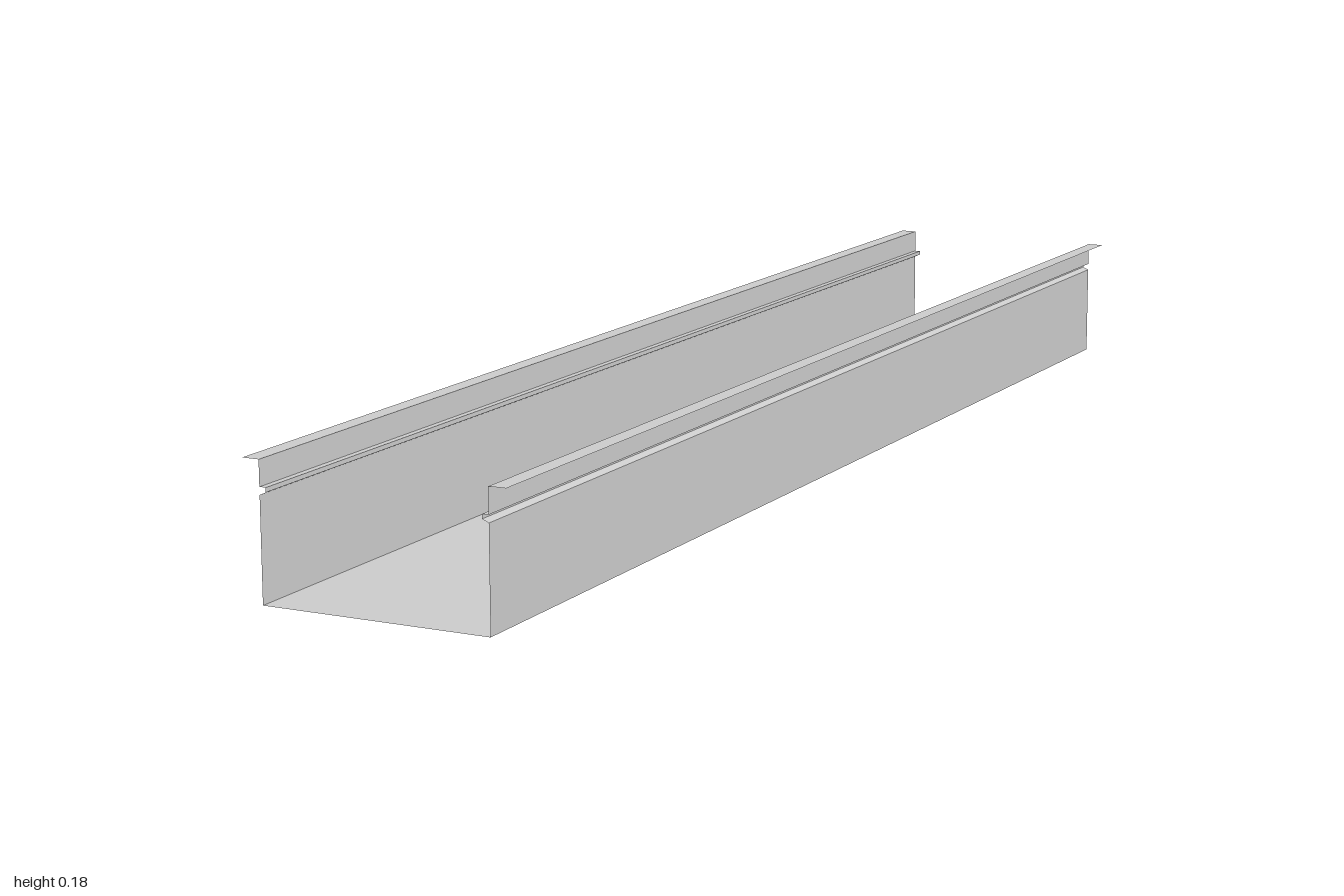
import * as THREE from 'three';

const LENGTH = 2;
const material = new THREE.MeshStandardMaterial({ color: 0xcccccc, flatShading: true, side: THREE.DoubleSide });

// Sweeps an open [x, y] profile along z as a thin folded sheet.
function sheet(name, profile) {
  const positions = [];
  const h = LENGTH / 2;
  for (let i = 0; i < profile.length - 1; i++) {
    const [ax, ay] = profile[i];
    const [bx, by] = profile[i + 1];
    positions.push(ax, ay, h, bx, by, h, bx, by, -h);
    positions.push(ax, ay, h, bx, by, -h, ax, ay, -h);
  }
  const geometry = new THREE.BufferGeometry();
  geometry.setAttribute('position', new THREE.Float32BufferAttribute(positions, 3));
  geometry.computeVertexNormals();
  const mesh = new THREE.Mesh(geometry, material);
  mesh.name = name;
  return mesh;
}

export function createModel() {
  const group = new THREE.Group();
  group.name = 'channelTray';

  // Flat floor
  group.add(sheet('floor', [[0.16, 0], [-0.16, 0]]));

  // Side walls with an inward groove, and outward flanges along the top
  const wall = [[0.16, 0], [0.16, 0.138], [0.151, 0.142], [0.151, 0.148], [0.16, 0.148], [0.16, 0.182]];
  const flange = [[0.16, 0.182], [0.184, 0.182]];
  for (const [side, s] of [['left', 1], ['right', -1]]) {
    // reversing the mirrored profile keeps outward winding on both sides
    const place = (points) => {
      const p = points.map(([x, y]) => [s * x, y]);
      return s > 0 ? p.reverse() : p;
    };
    group.add(sheet(side + 'Wall', place(wall)));
    group.add(sheet(side + 'Flange', place(flange)));
  }
  return group;
}
